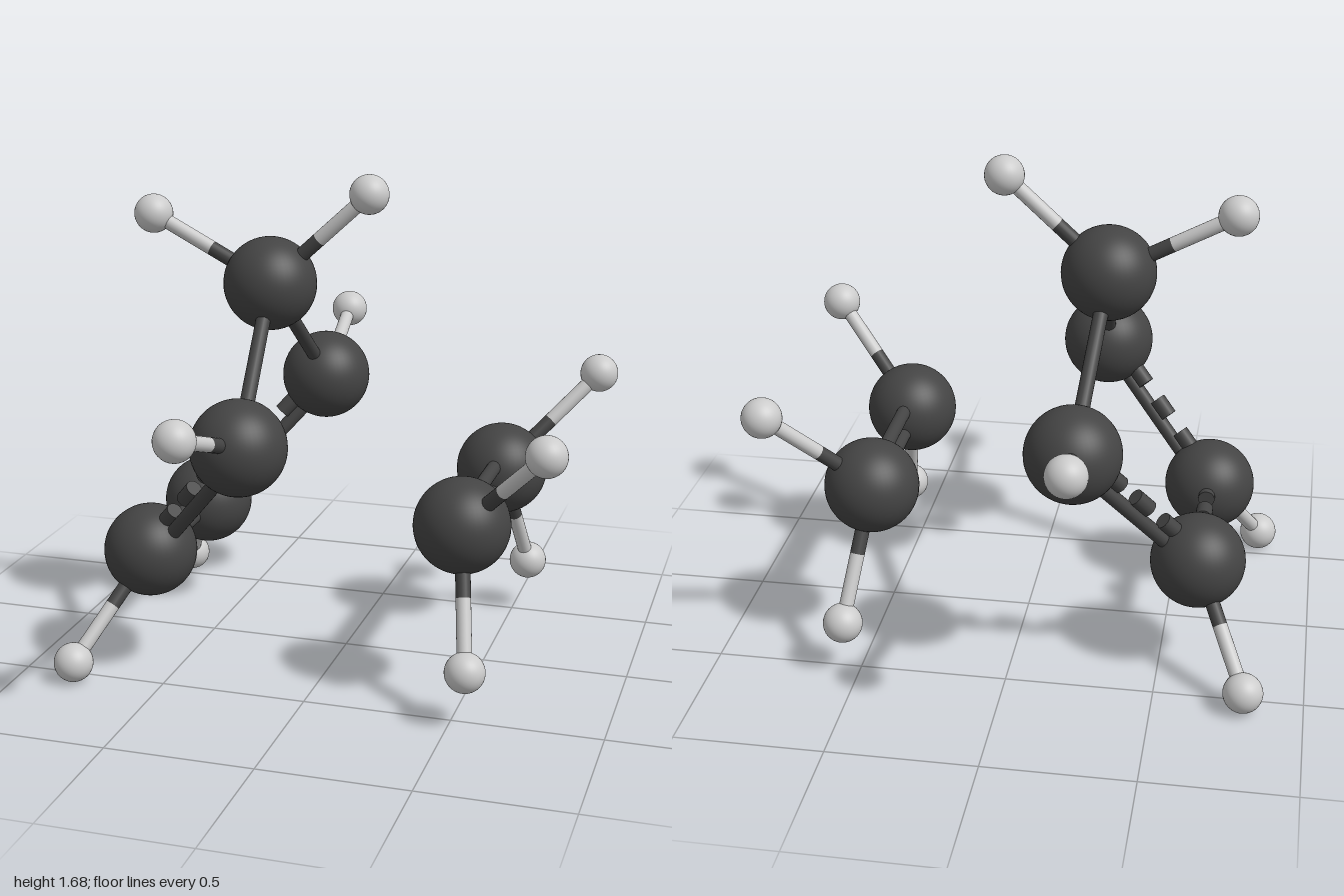
import * as THREE from 'three';

const CARBON_R = 0.16, HYDROGEN_R = 0.067, ROD_R = 0.025, DASH_R = 0.029;
const UP = new THREE.Vector3(0, 1, 0);
const V = (x, y, z) => new THREE.Vector3(x, y, z);

export function createModel() {
  const model = new THREE.Group();
  model.name = 'molecules';
  const dark = new THREE.MeshStandardMaterial({ color: 0x444444 });
  const light = new THREE.MeshStandardMaterial({ color: 0xcccccc });
  const carbonGeo = new THREE.SphereGeometry(CARBON_R, 48, 32);
  const hydrogenGeo = new THREE.SphereGeometry(HYDROGEN_R, 32, 24);

  function atom(parent, name, geometry, material, position) {
    const mesh = new THREE.Mesh(geometry, material);
    mesh.name = name;
    mesh.position.copy(position);
    parent.add(mesh);
  }

  // Cylinder between two points
  function rod(parent, name, a, b, radius, material) {
    const mesh = new THREE.Mesh(new THREE.CylinderGeometry(radius, radius, a.distanceTo(b), 20), material);
    mesh.name = name;
    mesh.position.lerpVectors(a, b, 0.5);
    mesh.quaternion.setFromUnitVectors(UP, b.clone().sub(a).normalize());
    parent.add(mesh);
  }

  // Upward direction at right angles to a bond
  function sideOf(a, b) {
    const d = b.clone().sub(a).normalize();
    return UP.clone().addScaledVector(d, -d.y).normalize();
  }

  function shiftedRod(parent, name, a, b, offset) {
    const s = sideOf(a, b).multiplyScalar(offset);
    rod(parent, name, a.clone().add(s), b.clone().add(s), ROD_R, dark);
  }

  // Solid rod below, row of short dashes above
  function dashedBond(parent, a, b) {
    shiftedRod(parent, 'partialBondRod', a, b, -0.023);
    const d = b.clone().sub(a).normalize();
    const mid = a.clone().lerp(b, 0.5).addScaledVector(sideOf(a, b), 0.025);
    for (let i = -2; i <= 2; i++) {
      const p = mid.clone().addScaledVector(d, i * 0.143);
      rod(parent, 'partialBondDash', p.clone().addScaledVector(d, -0.036),
        p.clone().addScaledVector(d, 0.036), DASH_R, dark);
    }
  }

  // Carbon with its hydrogens, each bond half dark and half light
  function carbonGroup(parent, c, hydrogens) {
    atom(parent, 'carbon', carbonGeo, dark, c);
    for (const h of hydrogens) {
      const mid = c.clone().lerp(h, 0.5);
      atom(parent, 'hydrogen', hydrogenGeo, light, h);
      rod(parent, 'bondDarkHalf', c, mid, ROD_R, dark);
      rod(parent, 'bondLightHalf', mid, h, ROD_R, light);
    }
  }

  // Five-carbon ring
  const ring = new THREE.Group();
  ring.name = 'ringMolecule';
  const apex = V(-0.27, 1.3, 0);
  carbonGroup(ring, apex, [V(-0.69, 1.52, 0), V(0.08, 1.62, 0)]);
  for (const s of [1, -1]) {
    const upper = V(-0.22, 0.86, 0.485 * s);
    const lower = V(-0.62, 0.4, 0.285 * s);
    carbonGroup(ring, upper, [V(-0.26, 1.01, 0.933 * s)]);
    carbonGroup(ring, lower, [V(-0.8, 0.07, 0.56 * s)]);
    rod(ring, 'singleBond', apex, upper, ROD_R, dark);
    dashedBond(ring, lower, upper);
  }
  dashedBond(ring, V(-0.62, 0.4, 0.285), V(-0.62, 0.4, -0.285));

  // Two-carbon molecule with a double bond
  const pair = new THREE.Group();
  pair.name = 'pairMolecule';
  for (const s of [1, -1]) {
    carbonGroup(pair, V(0.485, 0.61, 0.318 * s), [V(0.79, 0.93, 0.52 * s), V(0.55, 0.19, 0.53 * s)]);
    shiftedRod(pair, 'doubleBondRod', V(0.485, 0.61, 0.318), V(0.485, 0.61, -0.318), 0.043 * s);
  }

  model.add(ring, pair);
  return model;
}
